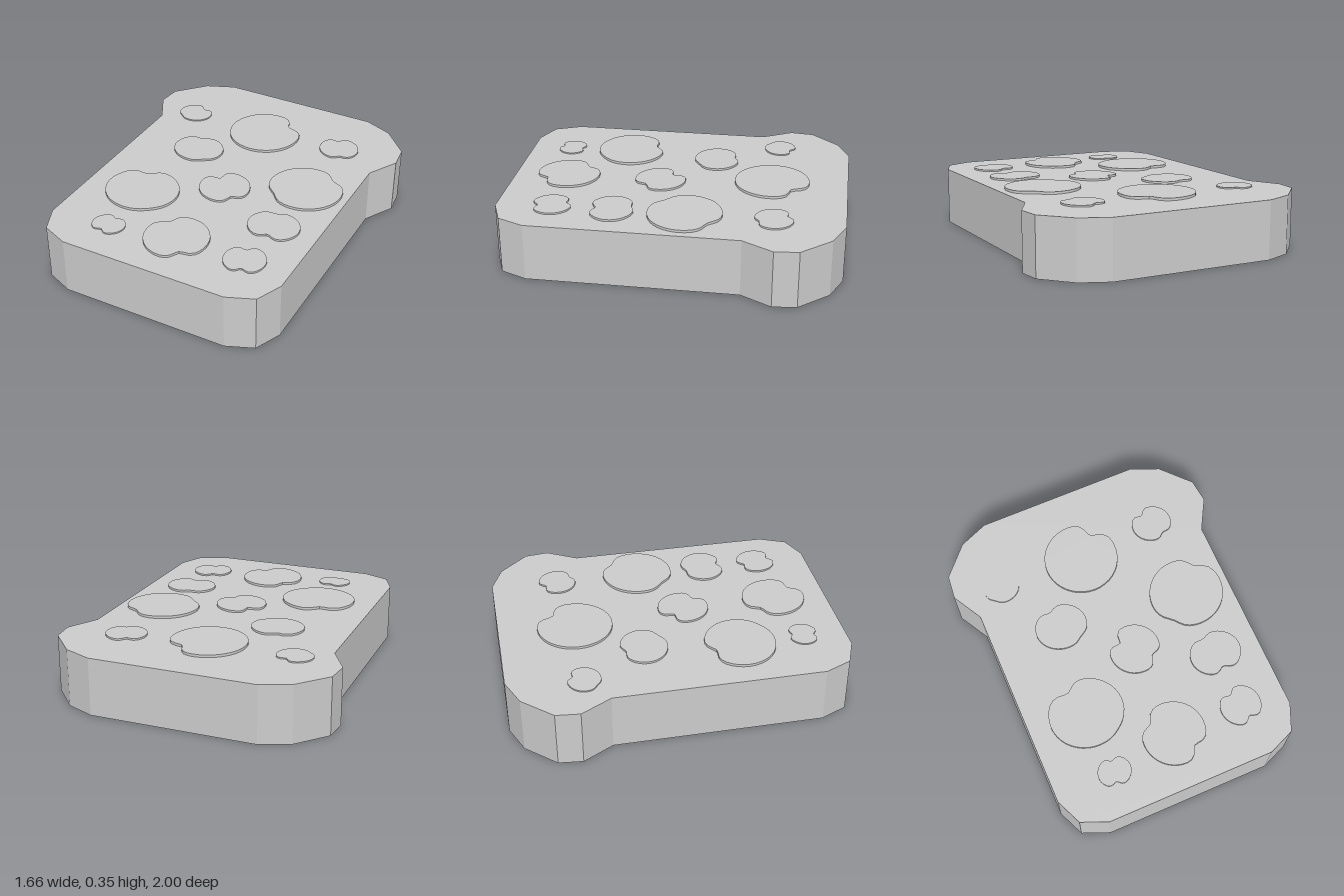
import * as THREE from 'three';

const TOP = 0.34;

// Extrudes an outline of [x, z] points upward from y0 to y1
function slab(name, points, y0, y1, material) {
  const shape = new THREE.Shape(points.map(([x, z]) => new THREE.Vector2(x, -z)));
  const geometry = new THREE.ExtrudeGeometry(shape, { depth: y1 - y0, bevelEnabled: false });
  geometry.rotateX(-Math.PI / 2).translate(0, y0, 0);
  const mesh = new THREE.Mesh(geometry, material);
  mesh.name = name;
  return mesh;
}

// Rounded blob filling a rectangle, pinched inward through each dent point
function blobOutline([x0, x1, z0, z1], dents, segments = 40) {
  const cx = (x0 + x1) / 2, cz = (z0 + z1) / 2;
  const hx = (x1 - x0) / 2, hz = (z1 - z0) / 2;
  const pinches = dents.map(([x, z]) => {
    const u = (x - cx) / hx, v = (z - cz) / hz;
    return { angle: Math.atan2(v, u), depth: 1.01 - Math.hypot(u, v) };
  });
  return Array.from({ length: segments }, (_, i) => {
    const a = (i / segments) * Math.PI * 2;
    let r = 1.01;
    for (const p of pinches) {
      const d = Math.atan2(Math.sin(a - p.angle), Math.cos(a - p.angle));
      r -= p.depth * Math.exp(-((d / 0.3) ** 2));
    }
    return [cx + hx * r * Math.cos(a), cz + hz * r * Math.sin(a)];
  });
}

export function createModel() {
  const group = new THREE.Group();
  group.name = 'breadSlice';
  const material = new THREE.MeshStandardMaterial({ color: 0xcccccc });

  // Bread slice: half outline from back to front, mirrored
  const half = [
    [0.49, -1], [0.66, -0.93], [0.815, -0.76], [0.83, -0.62],
    [0.73, -0.44], [0.73, 0.78], [0.663, 0.935], [0.505, 1],
  ];
  const mirrored = half.map(([x, z]) => [-x, z]).reverse();
  group.add(slab('bread', [...half, ...mirrored], 0, TOP, material));

  // Raised spots: bounds [x0, x1, z0, z1], dent points, height
  const spots = [
    [[-0.65, -0.44, -0.66, -0.47], [[-0.515, -0.625], [-0.61, -0.5]], 0.008],
    [[-0.25, 0.19, -0.77, -0.33], [[0.08, -0.67]], 0.015],
    [[0.34, 0.58, -0.71, -0.485], [[0.425, -0.67], [0.5, -0.515]], 0.01],
    [[-0.465, -0.155, -0.325, -0.05], [[-0.34, -0.295], [-0.225, -0.085]], 0.012],
    [[0.245, 0.685, -0.305, 0.12], [[0.58, -0.235], [0.32, 0.04]], 0.015],
    [[-0.115, 0.185, -0.035, 0.265], [[-0.03, 0.05], [0.115, 0.19]], 0.012],
    [[-0.6, -0.16, 0.16, 0.57], [[-0.435, 0.215], [-0.24, 0.52]], 0.015],
    [[0.31, 0.615, 0.195, 0.46], [[0.43, 0.22], [0.47, 0.42]], 0.012],
    [[-0.15, 0.22, 0.49, 0.865], [[-0.07, 0.575], [0.115, 0.79]], 0.014],
    [[0.34, 0.58, 0.56, 0.795], [[0.43, 0.6], [0.48, 0.755]], 0.01],
    [[-0.465, -0.27, 0.66, 0.835], [[-0.36, 0.685], [-0.38, 0.805]], 0.008],
  ];
  spots.forEach(([bounds, dents, height], i) => {
    group.add(slab(`spot${i + 1}`, blobOutline(bounds, dents), TOP - 0.01, TOP + height, material));
  });

  return group;
}
